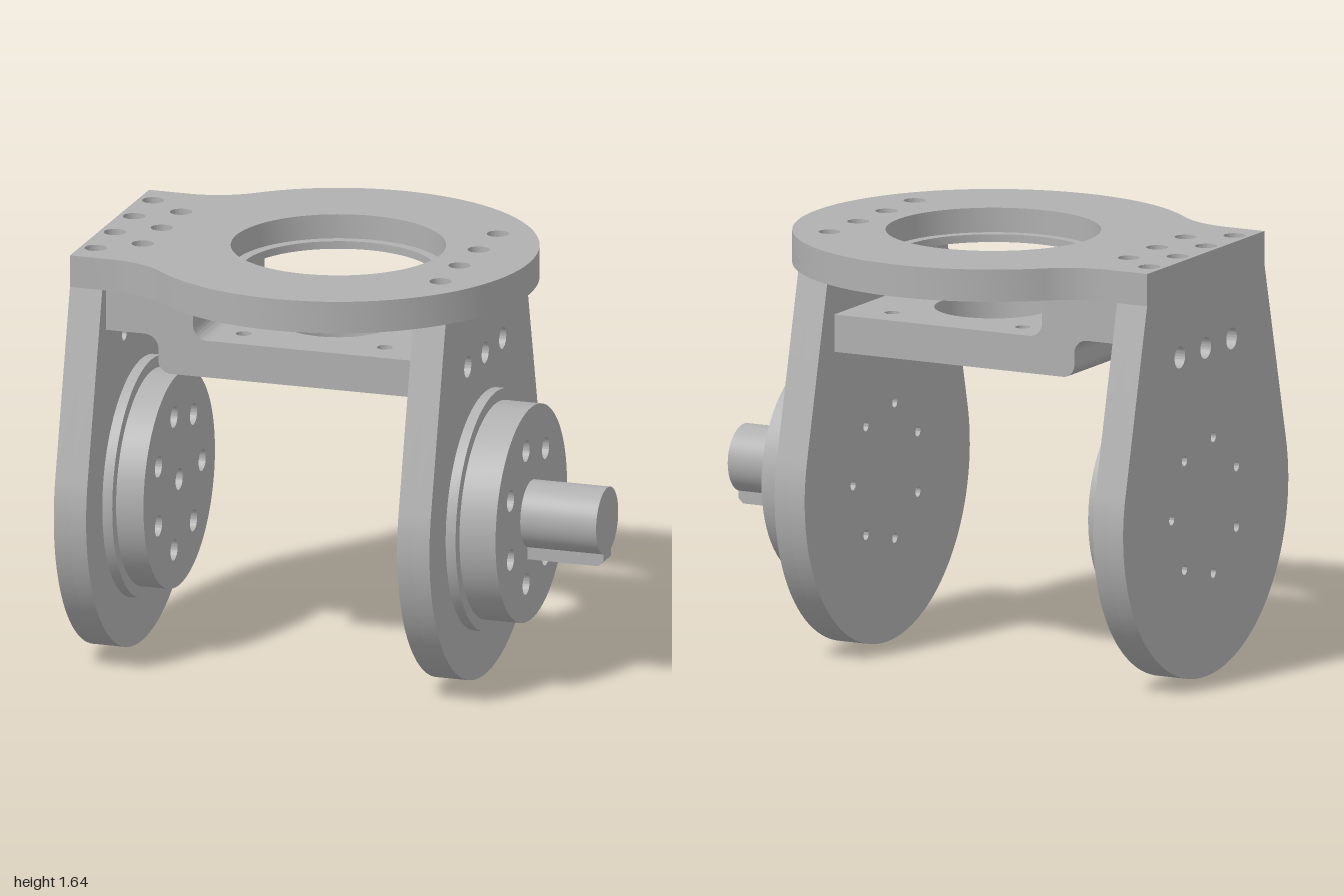
import * as THREE from 'three';
import { toCreasedNormals } from 'three/addons/utils/BufferGeometryUtils.js';

const metal = new THREE.MeshStandardMaterial({ color: 0xb0b0b0 });
metal.name = 'machined grey';

const AXIS_Y = 0.655; // height of the pivot axis
const WIDE = 0.042, NARROW = 0.027, FINE = 0.02; // screw hole radii

function punch(shape, points, r) {
  for (const [x, y] of points) {
    const hole = new THREE.Path();
    hole.absarc(x, y, r, 0, Math.PI * 2, true);
    shape.holes.push(hole);
  }
  return shape;
}

function extrude(shape, depth) {
  return new THREE.ExtrudeGeometry(shape, { depth, bevelEnabled: false, curveSegments: 36 });
}

function addMesh(parent, name, geometry) {
  const mesh = new THREE.Mesh(toCreasedNormals(geometry, 0.5), metal);
  mesh.name = name;
  parent.add(mesh);
  return mesh;
}

// Layer lying flat between two heights; shape is drawn as (x, -z)
function flatLayer(parent, name, shape, y0, y1) {
  addMesh(parent, name, extrude(shape, y1 - y0).rotateX(-Math.PI / 2).translate(0, y0, 0));
}

// Layer standing between two x positions; shape is drawn as (-z, y)
function sideLayer(parent, name, shape, x0, x1) {
  addMesh(parent, name, extrude(shape, x1 - x0).rotateY(Math.PI / 2).translate(x0, 0, 0));
}

function disc(r) {
  const s = new THREE.Shape();
  s.absarc(0, AXIS_Y, r, 0, Math.PI * 2, false);
  return s;
}

// Round plate blending into a square end
function plateShape() {
  const s = new THREE.Shape();
  const a = Math.atan2(0.73, -0.683);
  const f = Math.atan2(-0.73, 0.683);
  s.moveTo(-1, -0.465);
  s.lineTo(-0.84, -0.465);
  s.absarc(-0.84, -0.812, 0.347, Math.PI / 2, -f, true);
  s.absarc(-0.08, 0, 0.765, -a, a, false);
  s.absarc(-0.84, 0.812, 0.347, f, -Math.PI / 2, true);
  s.lineTo(-1, 0.465);
  s.closePath();
  return s;
}

// Tapered arm with a round lower end
function armShape() {
  const s = new THREE.Shape();
  const t = 0.235; // angle where the straight side meets the arc
  s.moveTo(0.465, 1.52);
  s.lineTo(-0.465, 1.52);
  s.absarc(0, AXIS_Y, 0.655, Math.PI - t, Math.PI * 2 + t, false);
  s.closePath();
  return s;
}

export function createModel() {
  const model = new THREE.Group();
  model.name = 'yokeBracket';

  const boltCircle = [];
  for (let i = 0; i < 7; i++) {
    const a = (i / 7) * Math.PI * 2;
    boltCircle.push([0.27 * Math.cos(a), AXIS_Y + 0.27 * Math.sin(a)]);
  }
  const armBolts = [-0.205, 0, 0.205].map((z) => [z, 1.275]);

  // Top plate with stepped opening and counterbored screw holes
  const plate = new THREE.Group();
  plate.name = 'topPlate';
  model.add(plate);
  const screws = [-0.225, 0, 0.225].map((z) => [-0.79, z]);
  for (const x of [-0.94, 0.445]) {
    for (const z of [-0.3375, -0.1125, 0.1125, 0.3375]) screws.push([x, z]);
  }
  const layers = [
    ['plateLowerLayer', 0.37, NARROW, 1.52, 1.55],
    ['plateUpperLayer', 0.41, WIDE, 1.55, 1.645],
  ];
  for (const [name, opening, screw, y0, y1] of layers) {
    const s = punch(punch(plateShape(), [[-0.08, 0]], opening), screws, screw);
    flatLayer(plate, name, s, y0, y1);
  }

  // Two arms, each counterbored on its outer face, with a stepped boss facing +x
  const arms = [
    { name: 'rightArm', x: -1, bores: [WIDE, NARROW], bossEnd: 0.28 },
    { name: 'leftArm', x: 0.38, bores: [NARROW, WIDE], bossEnd: 0.315 },
  ];
  for (const { name, x, bores, bossEnd } of arms) {
    const arm = new THREE.Group();
    arm.name = name;
    model.add(arm);
    bores.forEach((r, i) => {
      const s = punch(punch(armShape(), boltCircle, FINE), armBolts, r);
      sideLayer(arm, 'armLayer', s, x + i * 0.065, x + (i + 1) * 0.065);
    });
    const flange = punch(disc(0.465), boltCircle, NARROW);
    const boss = punch(disc(0.42), boltCircle, WIDE);
    if (x < 0) punch(boss, [[0, AXIS_Y]], WIDE);
    sideLayer(arm, 'bossFlange', flange, x + 0.13, x + 0.17);
    sideLayer(arm, 'boss', boss, x + 0.17, x + bossEnd);
  }

  // Drive shaft with a key on its underside
  const shaft = new THREE.CylinderGeometry(0.13, 0.13, 0.305, 64);
  shaft.rotateZ(Math.PI / 2).translate(0.8475, AXIS_Y, 0);
  addMesh(model, 'driveShaft', shaft);
  const key = new THREE.Shape();
  key.moveTo(0.695, 0.485);
  key.lineTo(0.98, 0.485);
  key.lineTo(1, 0.505);
  key.lineTo(1, 0.56);
  key.lineTo(0.695, 0.56);
  key.closePath();
  addMesh(model, 'shaftKey', extrude(key, 0.09).translate(0, 0, -0.045));

  // Cross shelf between the arms, with a bore and four mounting holes
  const shelf = new THREE.Shape();
  shelf.moveTo(-0.45, -0.42);
  shelf.lineTo(0.38, -0.42);
  shelf.lineTo(0.38, 0.42);
  shelf.lineTo(-0.45, 0.42);
  shelf.closePath();
  punch(shelf, [[-0.08, 0]], 0.225);
  const m = 0.283;
  punch(shelf, [[-0.08 - m, -m], [-0.08 - m, m], [-0.08 + m, -m], [-0.08 + m, m]], 0.03);
  flatLayer(model, 'crossShelf', shelf, 1.2, 1.345);

  // Stepped end joining the shelf to the top plate
  const step = new THREE.Shape();
  const q = Math.PI / 2;
  step.moveTo(-0.87, 1.52);
  step.lineTo(-0.87, 1.35);
  step.absarc(-0.715, 1.295, 0.055, q, 0, true);
  step.absarc(-0.61, 1.25, 0.05, Math.PI, 3 * q, false);
  step.lineTo(-0.45, 1.2);
  step.lineTo(-0.45, 1.345);
  step.absarc(-0.465, 1.4, 0.055, 3 * q, Math.PI, true);
  step.absarc(-0.57, 1.47, 0.05, 0, q, false);
  step.closePath();
  addMesh(model, 'shelfStep', extrude(step, 0.84).translate(0, 0, -0.42));

  return model;
}
